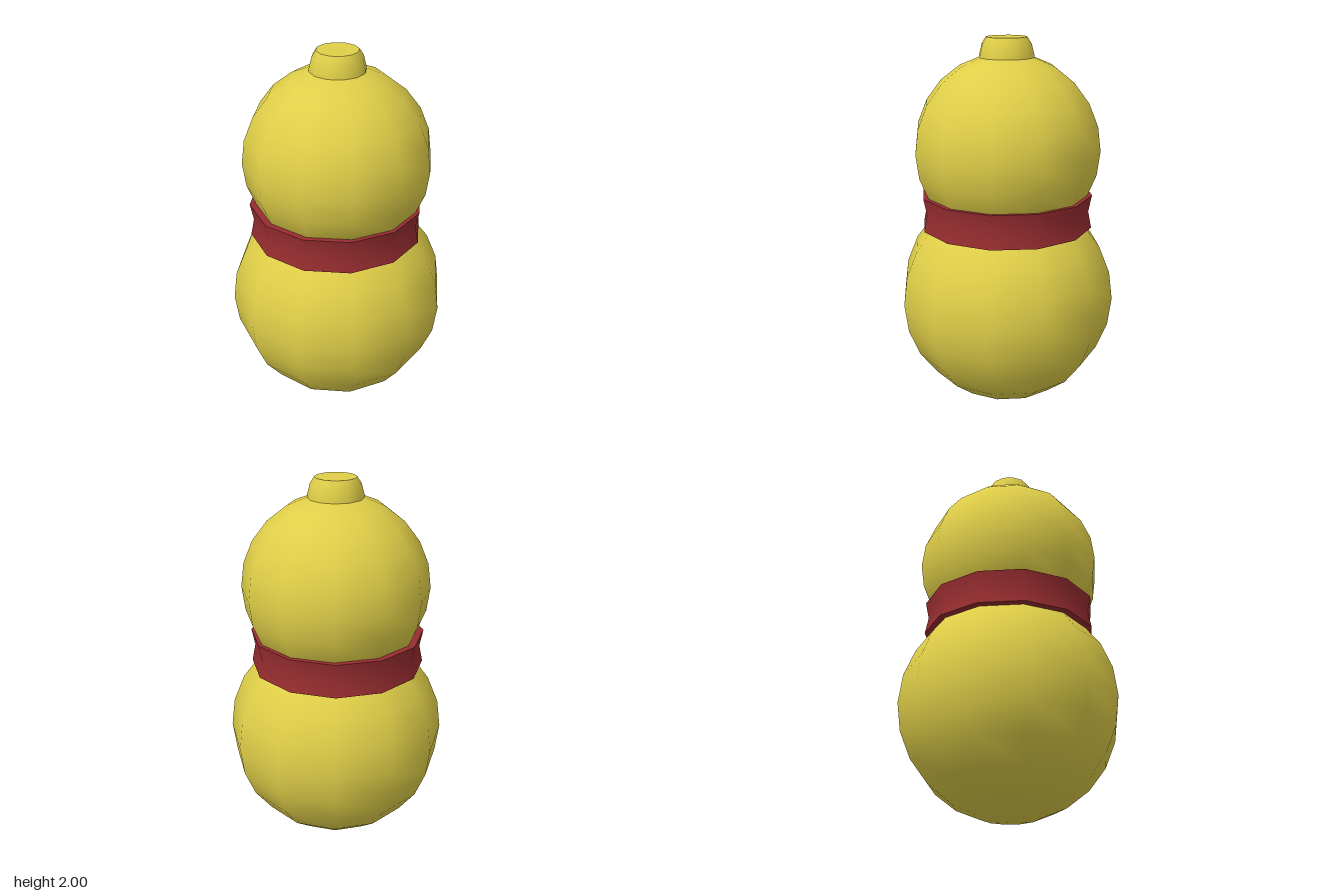
import * as THREE from 'three';

const SIDES = 12;
const TURN = THREE.MathUtils.degToRad(10);

export function createModel() {
  const group = new THREE.Group();
  const yellow = new THREE.MeshStandardMaterial({ color: 0xdfce48 });
  yellow.name = 'yellow gourd';
  const red = new THREE.MeshStandardMaterial({ color: 0x982d30 });
  red.name = 'red sash';

  // Turned part from [radius, height] points listed bottom to top on the outside
  function turned(name, points, material, parent = group) {
    const profile = points.map(([r, y]) => new THREE.Vector2(r, y));
    const mesh = new THREE.Mesh(new THREE.LatheGeometry(profile, SIDES, TURN), material);
    mesh.name = name;
    parent.add(mesh);
    return mesh;
  }

  // Round bulb with its poles on the vertical axis
  function bulb(name, radius, halfHeight, centreY) {
    const points = [];
    for (let i = 0; i <= 12; i++) {
      const a = (i / 12) * Math.PI;
      points.push([i % 12 ? radius * Math.sin(a) : 0, centreY - halfHeight * Math.cos(a)]);
    }
    turned(name, points, yellow);
  }

  bulb('lowerBulb', 0.585, 0.595, 0.6);
  bulb('upperBulb', 0.497, 0.5, 1.42);

  // Pinched sash with flat rims around the waist
  const sash = new THREE.Group();
  sash.name = 'sash';
  sash.position.x = -0.008;
  turned('sashBand', [[0.462, 1.0], [0.444, 1.09], [0.462, 1.18]], red, sash);
  turned('sashTopRim', [[0.462, 1.18], [0.36, 1.18]], red, sash);
  turned('sashBottomRim', [[0.36, 1.0], [0.462, 1.0]], red, sash);
  group.add(sash);

  // Mouth stub with a bevelled, flat top
  turned('neck', [[0.145, 1.88], [0.145, 1.905], [0.13, 1.965], [0.108, 2.0]], yellow);
  turned('neckTop', [[0.108, 2.0], [0, 2.0]], yellow);
  turned('neckBase', [[0, 1.88], [0.145, 1.88]], yellow);

  return group;
}
